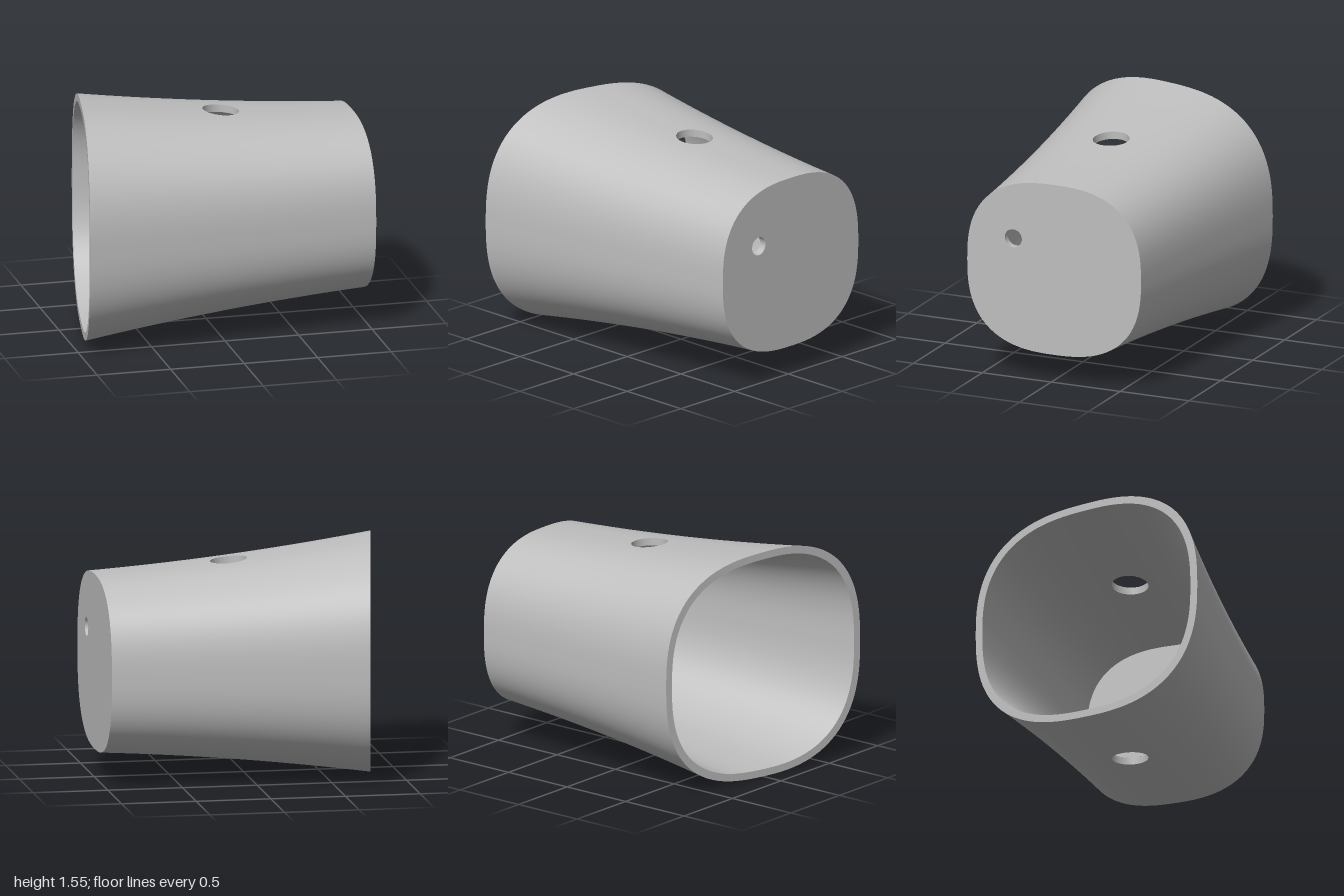
import * as THREE from 'three';

const N = 2.6;                 // squareness of the cross-section
const CY = 0.78, CZ = -0.021;  // axis of the sleeve
const WALL = 0.05;
const HOLE_X = 0.105, HOLE_R = 0.121;
const BLOCK = 0.25;            // half length of the grid block around each cross hole
const ROWS = 192, HALF = 12;   // rows round the sleeve, rows in half a block
const STEP = (Math.PI * 2) / ROWS;
const LEAD = 16, TAIL = 12, COLS = LEAD + 2 * HALF + TAIL;

const halfWidth = (x, t) => 0.72 - 0.105 * x + 0.015 * x * x - t;
const halfHeight = (x, t) => 0.665 - 0.106 * x + 0.026 * x * x - t;
const radius = (p) => (Math.abs(Math.cos(p)) ** N + Math.abs(Math.sin(p)) ** N) ** (-1 / N);

// point on the sleeve at length x and angle p, inset by t
function point(x, p, t) {
  const r = radius(p);
  return [x, CY + halfHeight(x, t) * r * Math.sin(p), CZ + halfWidth(x, t) * r * Math.cos(p)];
}

// length at which angle p meets the slanted open end
function cutX(p, t) {
  let x = -0.85;
  for (let k = 0; k < 10; k++) x = -1 + (0.3 * (0.82 - point(x, p, t)[2])) / 1.643;
  return x;
}

// point on a cross hole's edge; side is 1 at the top and -1 at the bottom
function holeEdge(angle, side, t) {
  const x = HOLE_X + HOLE_R * Math.cos(angle);
  const u = (-side * HOLE_R * Math.sin(angle)) / halfWidth(x, t);
  const v = (1 - Math.abs(u) ** N) ** (1 / N);
  const p = Math.atan2(side * v, u);
  return [x, side > 0 ? p : p + Math.PI * 2];
}

function indexed(positions, index) {
  const g = new THREE.BufferGeometry();
  g.setAttribute('position', new THREE.Float32BufferAttribute(positions, 3));
  g.setIndex(index);
  g.computeVertexNormals();
  return g;
}

// sleeve surface with the grid bent round two circular holes
function sleeve(t, xEnd, inward) {
  const pos = [], index = [];
  const x0 = HOLE_X - BLOCK, x1 = HOLE_X + BLOCK;
  const blockPos = (i, j) => {
    const side = j < ROWS / 2 ? 1 : -1;
    const a = (i - LEAD - HALF) / HALF;
    const b = (j - (side > 0 ? ROWS / 4 : (ROWS * 3) / 4)) / HALF;
    return { a, b, side, s: Math.max(Math.abs(a), Math.abs(b)) };
  };
  for (let i = 0; i <= COLS; i++) {
    for (let j = 0; j < ROWS; j++) {
      let p = j * STEP, x;
      if (i <= LEAD) x = THREE.MathUtils.lerp(cutX(p, t), x0, i / LEAD);
      else if (i <= LEAD + 2 * HALF) x = x0 + (BLOCK * (i - LEAD)) / HALF;
      else x = THREE.MathUtils.lerp(x1, xEnd, (i - LEAD - 2 * HALF) / TAIL);
      const { a, b, side, s } = blockPos(i, j);
      if (s > 0 && s < 1) {
        const k = Math.max(0, s * 2 - 1);
        const [cx, cp] = holeEdge(Math.atan2(b, a), side, t);
        const mid = side > 0 ? Math.PI / 2 : Math.PI * 1.5;
        x = THREE.MathUtils.lerp(cx, HOLE_X + (BLOCK * a) / s, k);
        p = THREE.MathUtils.lerp(cp, mid + (HALF * STEP * b) / s, k);
      }
      pos.push(...point(x, p, t));
    }
  }
  for (let i = 0; i < COLS; i++) {
    for (let j = 0; j < ROWS; j++) {
      if (blockPos(i + 0.5, j + 0.5).s < 0.5) continue;
      const n = (j + 1) % ROWS;
      const a = i * ROWS + j, b = a + ROWS, c = (i + 1) * ROWS + n, d = i * ROWS + n;
      if (inward) index.push(a, c, b, a, d, c);
      else index.push(a, b, c, a, c, d);
    }
  }
  return indexed(pos, index);
}

// closed band between two matching loops of points
function band(count, first, second) {
  const pos = [], index = [];
  for (let k = 0; k < count; k++) pos.push(...first(k), ...second(k));
  for (let k = 0; k < count; k++) {
    const a = 2 * k, b = 2 * ((k + 1) % count);
    index.push(a, b, b + 1, a, b + 1, a + 1);
  }
  return indexed(pos, index);
}

export function createModel() {
  const group = new THREE.Group();
  const grey = new THREE.MeshStandardMaterial({ color: 0xbfbfbf });
  grey.name = 'grey';
  const thin = grey;
  thin.side = THREE.DoubleSide;
  const add = (name, geometry) => {
    const mesh = new THREE.Mesh(geometry, grey);
    mesh.name = name;
    group.add(mesh);
  };

  // tapered walls and the slanted rim
  add('outerWall', sleeve(0, 1, false));
  add('innerWall', sleeve(WALL, 1 - WALL, true));
  const rim = (t) => (k) => point(cutX(k * STEP, t), k * STEP, t);
  add('openRim', band(ROWS, rim(WALL), rim(0)));

  // sides of the two cross holes
  for (const side of [1, -1]) {
    const edge = (t) => (k) => {
      const [x, p] = holeEdge((k * Math.PI) / 48, side, t);
      return point(x, p, t);
    };
    add(side > 0 ? 'topHole' : 'bottomHole', band(96, edge(WALL), edge(0)));
  }

  // end plate with its small off-centre hole
  const outline = [];
  for (let j = 0; j < ROWS; j++) {
    const [, y, z] = point(1, j * STEP, 0);
    outline.push(new THREE.Vector2(-z, y));
  }
  const shape = new THREE.Shape(outline);
  shape.holes.push(new THREE.Path().absarc(-0.275, 0.96, 0.062, 0, Math.PI * 2, true));
  const plate = new THREE.ExtrudeGeometry(shape, { depth: WALL, bevelEnabled: false, curveSegments: 24 });
  plate.rotateY(Math.PI / 2).translate(1 - WALL, 0, 0);
  add('endPlate', plate);
  return group;
}
